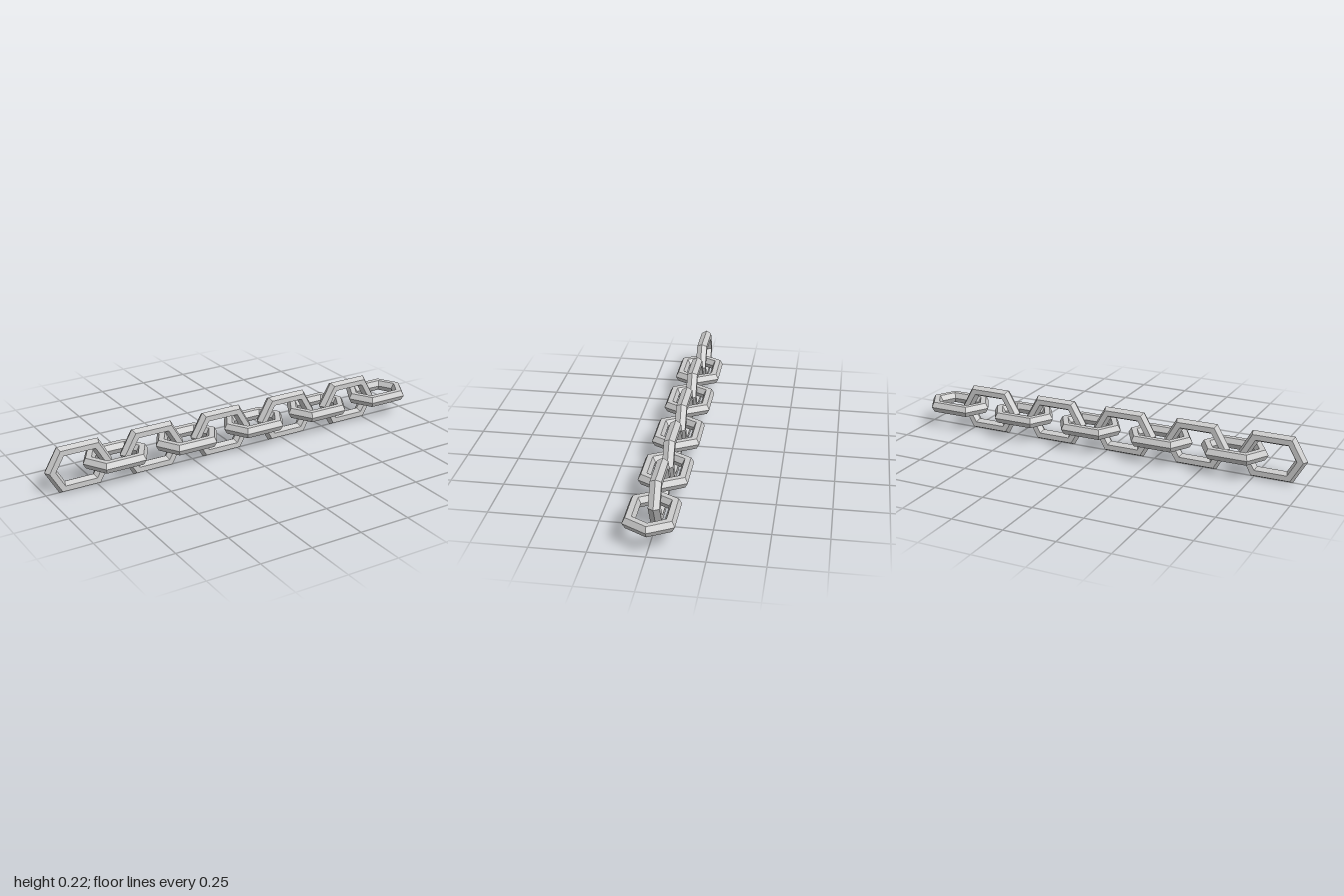
import * as THREE from 'three';

const LINKS = 10;
const HALF_LENGTH = 0.165; // centre of a link to its tip
const RING = 0.1;          // radius of the hexagonal ring
const BAR = 0.0295;        // radius of the hexagonal bar
const STRETCH = HALF_LENGTH - RING - BAR;

// Hexagonal ring of hexagonal bar, pulled apart along x into a long link
function linkGeometry() {
  const geometry = new THREE.TorusGeometry(RING, BAR, 6, 6);
  const p = geometry.attributes.position;
  for (let i = 0; i < p.count; i++) {
    p.setX(i, p.getX(i) + Math.sign(p.getX(i)) * STRETCH);
  }
  geometry.computeVertexNormals();
  return geometry;
}

export function createModel() {
  const chain = new THREE.Group();
  chain.name = 'chain';
  const material = new THREE.MeshStandardMaterial({ color: 0xcccccc, flatShading: true });
  const geometry = linkGeometry();
  const pitch = (2 - 2 * HALF_LENGTH) / (LINKS - 1);
  const centreY = (RING + BAR) * Math.sin(Math.PI / 3);

  // Links alternate between upright and lying flat
  for (let i = 0; i < LINKS; i++) {
    const flat = i % 2 === 1;
    const link = new THREE.Mesh(geometry, material);
    link.name = (flat ? 'flatLink' : 'uprightLink') + (Math.floor(i / 2) + 1);
    link.position.set(-1 + HALF_LENGTH + i * pitch, centreY, 0);
    if (flat) link.rotation.x = Math.PI / 2;
    chain.add(link);
  }
  return chain;
}
